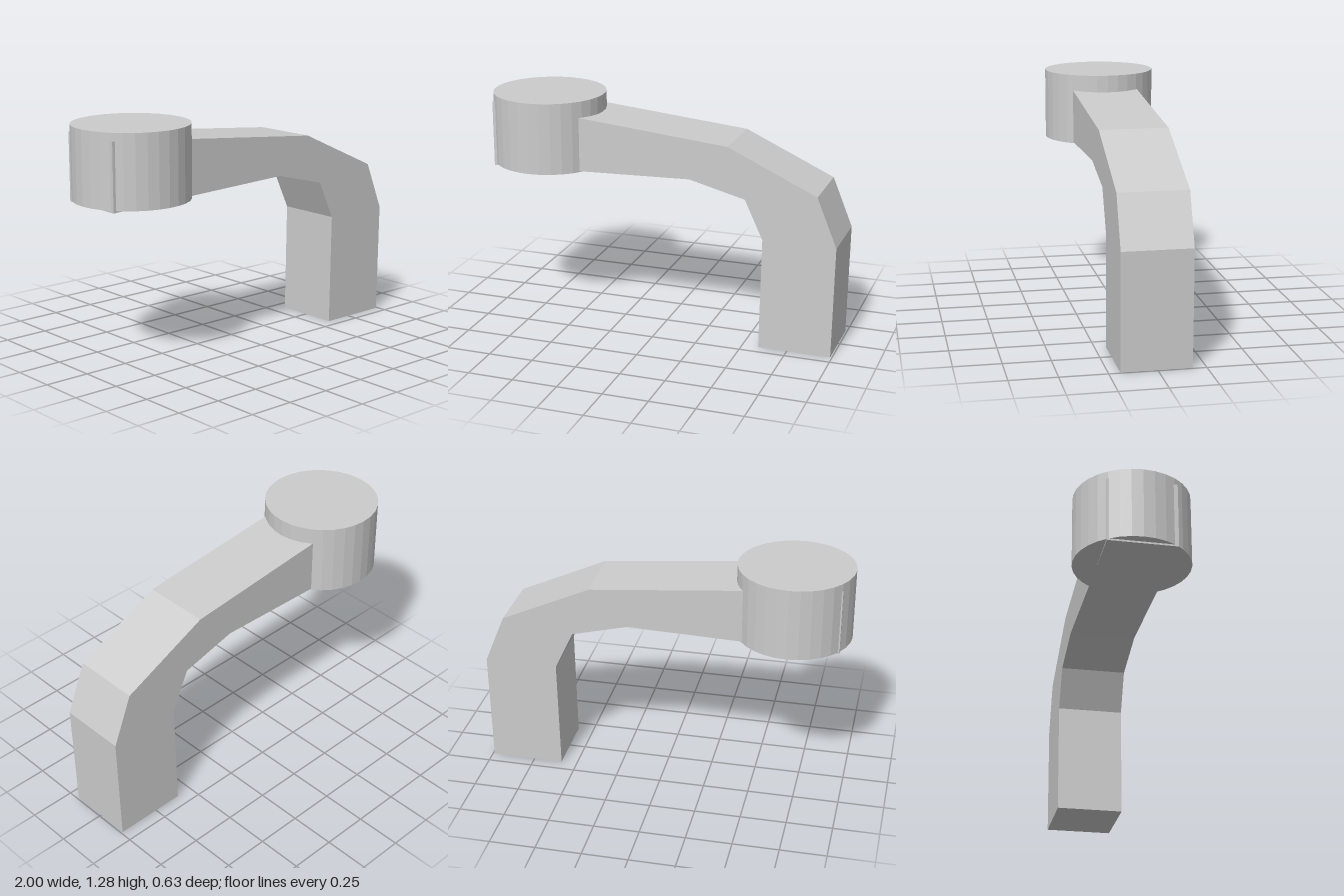
import * as THREE from 'three';

export function createModel() {
  const group = new THREE.Group();
  const material = new THREE.MeshStandardMaterial({ color: 0xcccccc, flatShading: true });

  // Bent arm: side profile extruded across its width
  const profile = [
    [0.59, 0], [0.99, 0], [1, 0.62], [0.89, 0.89], [0.4, 1.115],
    [-0.95, 1.245], [-0.95, 0.88], [0.19, 0.915], [0.5, 0.835], [0.6, 0.62],
  ].map(([x, y]) => new THREE.Vector2(x, y));
  const armGeometry = new THREE.ExtrudeGeometry(new THREE.Shape(profile), {
    depth: 0.37, bevelEnabled: false,
  });
  armGeometry.translate(0, 0, -0.18);
  const arm = new THREE.Mesh(armGeometry, material);
  arm.name = 'bentArm';
  group.add(arm);

  // Round head at the end of the arm
  const bottom = 0.89, top = 1.285, radius = 0.313;
  const head = new THREE.Mesh(
    new THREE.CylinderGeometry(radius, radius, top - bottom, 32), material);
  head.position.set(-0.687, (top + bottom) / 2, 0);
  head.name = 'roundHead';
  group.add(head);

  return group;
}
